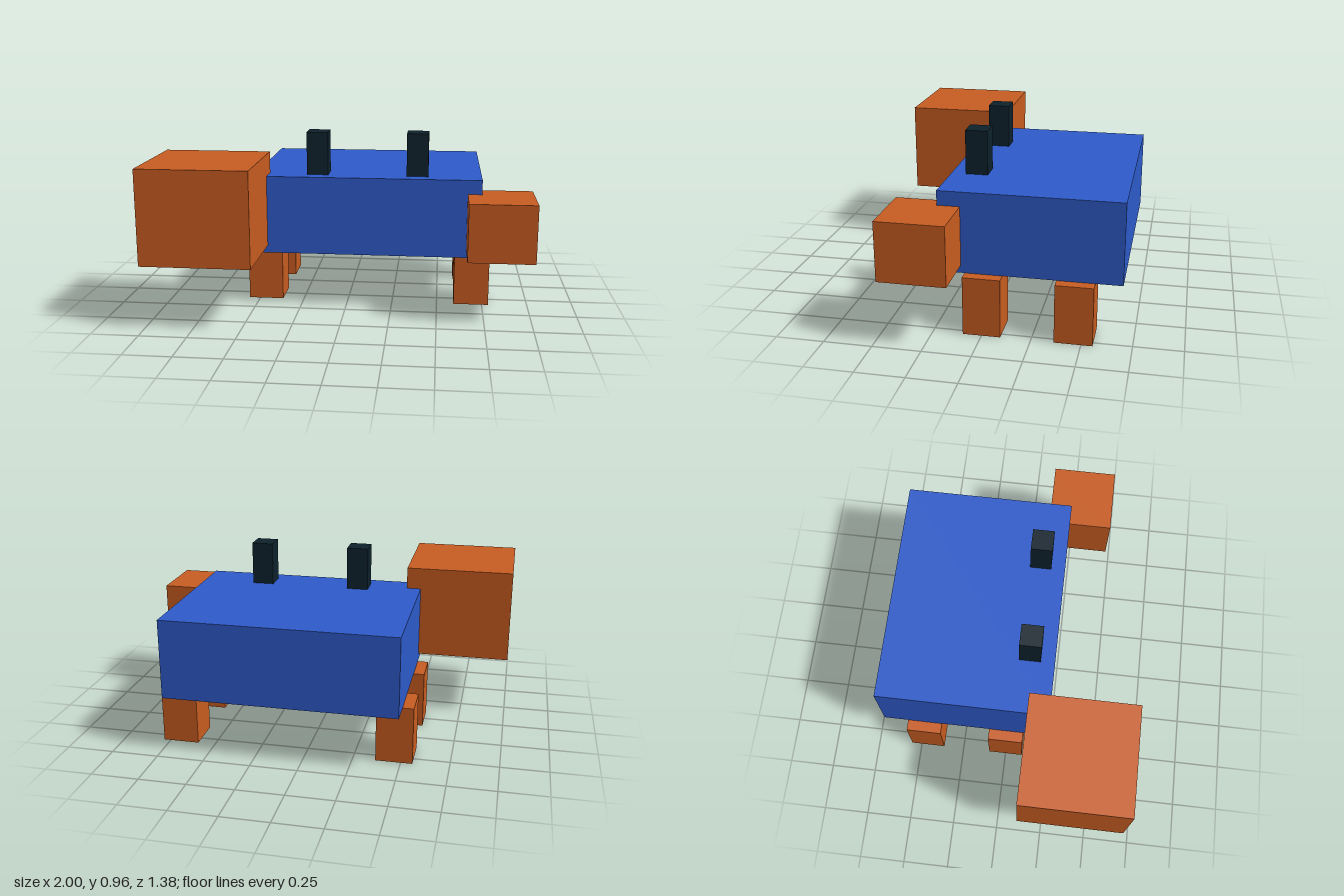
import * as THREE from 'three';

export function createModel() {
  const model = new THREE.Group();
  model.name = 'crab';

  const material = (name, color) => {
    const m = new THREE.MeshStandardMaterial({ color });
    m.name = name;
    return m;
  };
  const shellBlue = material('shell blue', 0x2e5bcb);
  const clawOrange = material('claw orange', 0xc95d21);
  const eyeDark = material('eye dark', 0x0e222d);

  // Box given by its lowest and highest corners
  const block = (name, mat, [x0, y0, z0], [x1, y1, z1]) => {
    const mesh = new THREE.Mesh(new THREE.BoxGeometry(x1 - x0, y1 - y0, z1 - z0), mat);
    mesh.position.set((x0 + x1) / 2, (y0 + y1) / 2, (z0 + z1) / 2);
    mesh.name = name;
    model.add(mesh);
  };

  // Body shell
  block('body', shellBlue, [-0.502, 0.308, -0.692], [0.727, 0.732, 0.231]);

  // Large right claw and small left claw, both starting at the same depth
  block('rightClaw', clawOrange, [-1, 0.348, 0.115], [-0.425, 0.848, 0.692]);
  block('leftClaw', clawOrange, [0.652, 0.348, 0.115], [1, 0.656, 0.462]);

  // Legs and eye stalks, mirrored about the middle of the body
  const middle = 0.1125;
  for (const [side, s] of [['left', 1], ['right', -1]]) {
    for (const [end, z] of [['Front', 0], ['Back', -0.461]]) {
      const x = middle + s * 0.577;
      block(`${side}${end}Leg`, clawOrange, [x - 0.096, 0, z - 0.096], [x + 0.096, 0.308, z + 0.096]);
    }
    const x = middle + s * 0.27;
    block(`${side}Eye`, eyeDark, [x - 0.058, 0.732, 0.039], [x + 0.058, 0.963, 0.155]);
  }

  return model;
}
